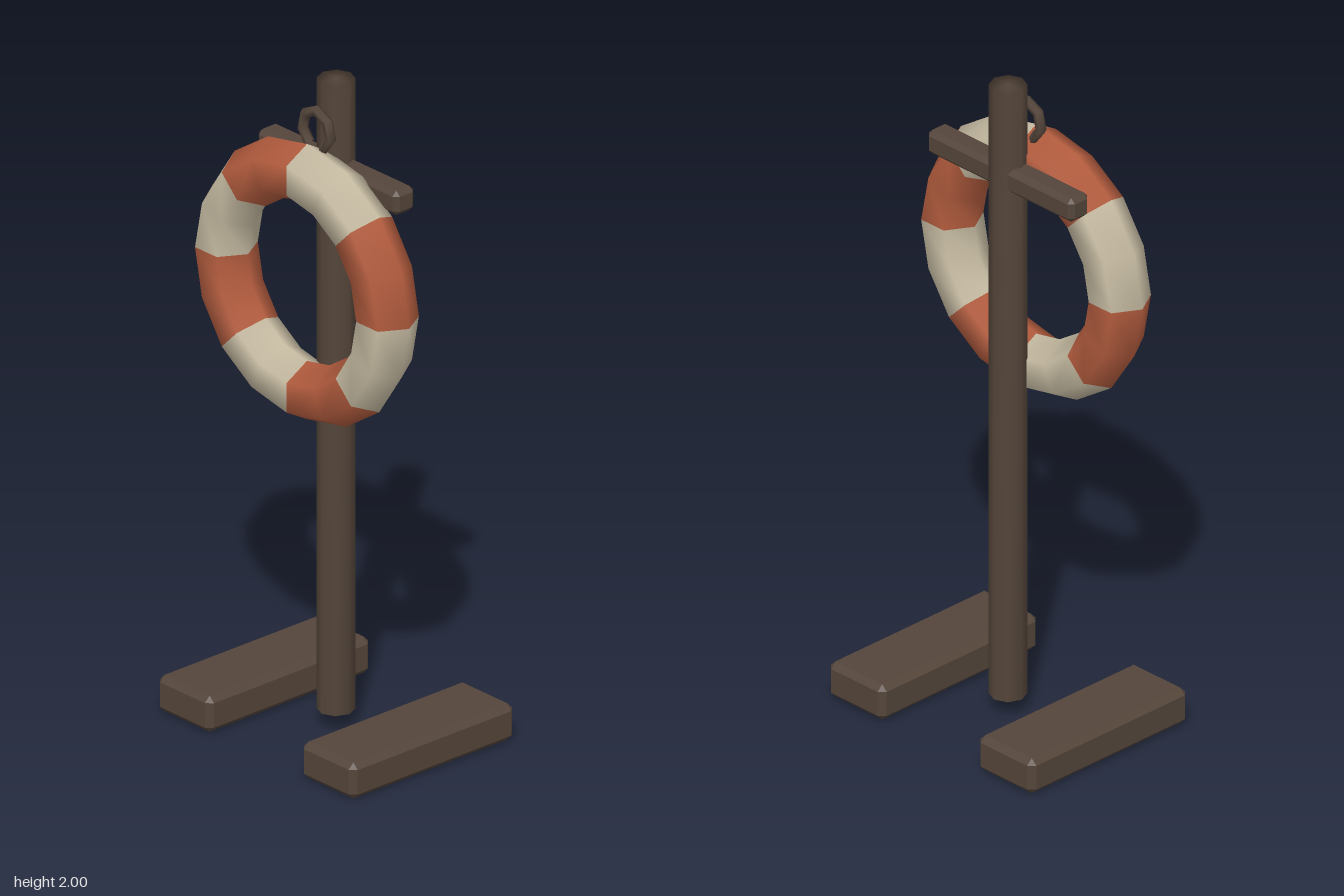
import * as THREE from 'three';
import { mergeVertices } from 'three/addons/utils/BufferGeometryUtils.js';
import { ConvexGeometry } from 'three/addons/geometries/ConvexGeometry.js';

// Box with every edge and corner cut by the same chamfer
function chamferBox(w, h, d, c) {
  const half = [w / 2, h / 2, d / 2];
  const points = [];
  for (let axis = 0; axis < 3; axis++)
    for (const sx of [-1, 1]) for (const sy of [-1, 1]) for (const sz of [-1, 1]) {
      const p = half.map((v, i) => (i === axis ? v : v - c));
      points.push(new THREE.Vector3(p[0] * sx, p[1] * sy, p[2] * sz));
    }
  return new ConvexGeometry(points);
}

// Share normals between sides and caps for a soft look
function smooth(geometry) {
  geometry.deleteAttribute('normal');
  geometry.deleteAttribute('uv');
  const merged = mergeVertices(geometry);
  merged.computeVertexNormals();
  return merged;
}

export function createModel() {
  const model = new THREE.Group();
  model.name = 'lifebuoyStand';

  const material = (name, color) => {
    const m = new THREE.MeshStandardMaterial({ color });
    m.name = name;
    return m;
  };
  const wood = material('darkWood', 0x54453a);
  const orange = material('orange', 0xb35c3e);
  const cream = material('cream', 0xc6bba2);

  const add = (name, geometry, mat, x, y, z, parent = model) => {
    const mesh = new THREE.Mesh(geometry, mat);
    mesh.name = name;
    mesh.position.set(x, y, z);
    parent.add(mesh);
    return mesh;
  };

  // Post and crossbar
  add('post', smooth(new THREE.CylinderGeometry(0.055, 0.055, 1.947, 8)), wood, 0, 1.0265, 0);
  add('crossbar', chamferBox(0.584, 0.076, 0.078, 0.015), wood, 0, 1.717, 0);

  // Pair of feet
  const foot = chamferBox(0.222, 0.112, 0.618, 0.018);
  add('leftFoot', foot, wood, 0.299, 0.056, 0);
  add('rightFoot', foot, wood, -0.299, 0.056, 0);

  // Hook: open loop, gap at the bottom
  const arc = Math.PI * 1.7;
  const hook = add('hook', new THREE.TorusGeometry(0.059, 0.016, 6, 6, arc), wood, 0, 1.862, 0.073);
  hook.rotation.z = Math.PI / 2 - arc / 2;

  // Ring of eight alternating segments
  const ring = new THREE.Group();
  ring.name = 'lifeRing';
  ring.position.set(0, 1.405, 0.11);
  model.add(ring);
  const segment = new THREE.TorusGeometry(0.335, 0.09, 6, 2, Math.PI / 4);
  for (let i = 0; i < 8; i++) {
    const part = add(`ringSegment${i + 1}`, segment, i % 2 ? cream : orange, 0, 0, 0, ring);
    part.rotation.z = i * Math.PI / 4;
  }

  return model;
}
